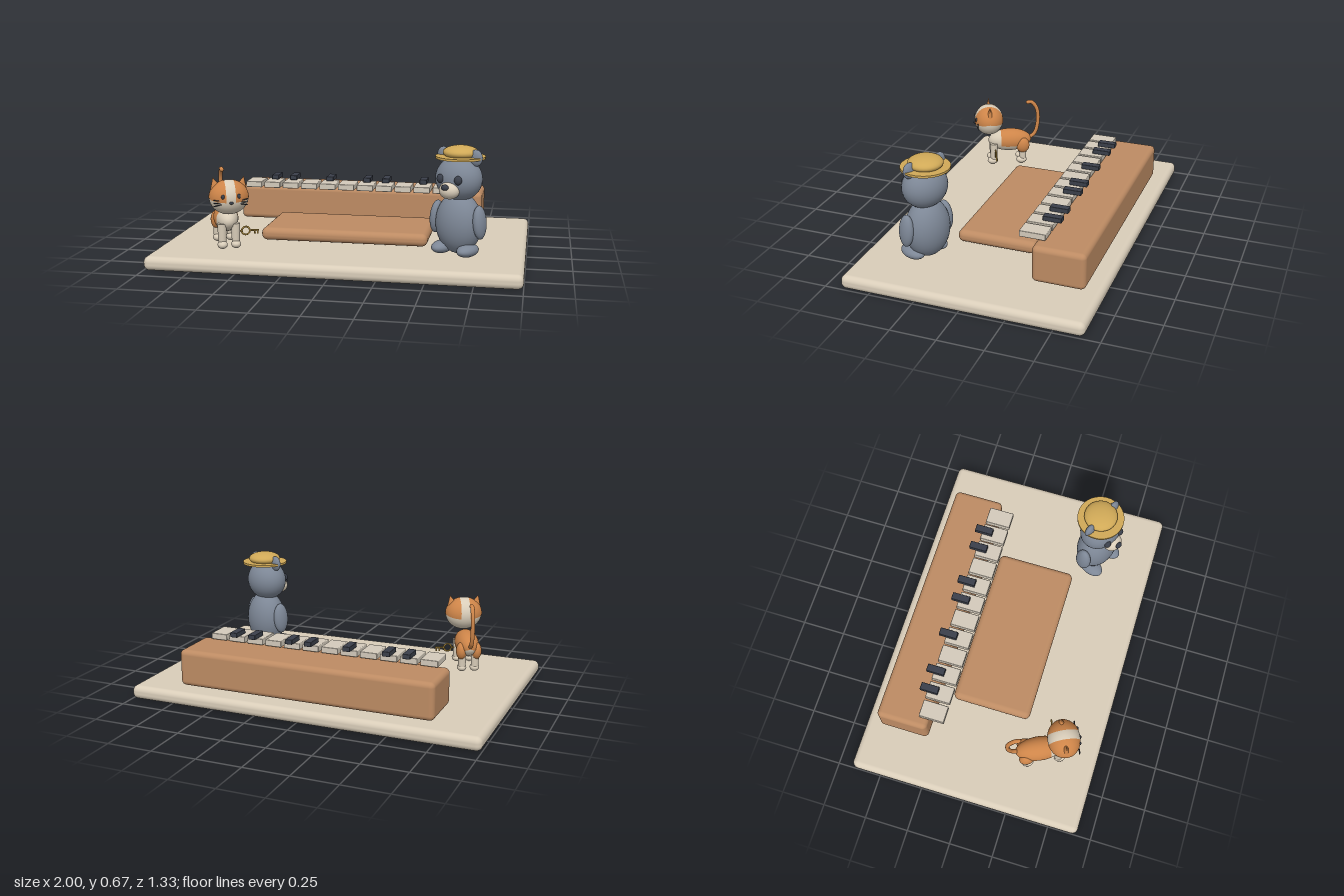
import * as THREE from 'three';
import { RoundedBoxGeometry } from 'three/addons/geometries/RoundedBoxGeometry.js';

const mat = (name, color) => Object.assign(new THREE.MeshStandardMaterial({ color }), { name });

export function createModel() {
  const cream = mat('cream', 0xd9cdb9);
  const wood = mat('wood', 0xbd8b63);
  const ivory = mat('ivory', 0xd3cabb);
  const dark = mat('dark', 0x3a3f4a);
  const grey = mat('grey', 0x7d8796);
  const orange = mat('orange', 0xce8549);
  const straw = mat('straw', 0xd0a957);
  const gold = mat('gold', 0xb08d3e);

  const model = new THREE.Group();
  model.name = 'pianoScene';

  const add = (parent, name, geometry, material, x = 0, y = 0, z = 0) => {
    const mesh = new THREE.Mesh(geometry, material);
    mesh.name = name;
    mesh.position.set(x, y, z);
    parent.add(mesh);
    return mesh;
  };
  const ellipsoid = (parent, name, material, [x, y, z], [rx, ry, rz]) =>
    add(parent, name, new THREE.SphereGeometry(1, 32, 20).scale(rx, ry, rz), material, x, y, z);
  // Upper part of an ellipsoid's skin, measured around its x axis between two angles from +x
  const patch = (parent, name, material, [x, y, z], [rx, ry, rz], wrap, from, to) => {
    const g = new THREE.SphereGeometry(1.012, 32, 16, -wrap, 2 * wrap, from, to - from);
    return add(parent, name, g.rotateZ(-Math.PI / 2).scale(rx, ry, rz), material, x, y, z);
  };
  const block = (name, material, r, x0, x1, y0, y1, z0, z1) =>
    add(model, name, new RoundedBoxGeometry(x1 - x0, y1 - y0, z1 - z0, 5, r), material,
      (x0 + x1) / 2, (y0 + y1) / 2, (z0 + z1) / 2);

  // Ground slab, bench and piano body
  block('slab', cream, 0.032, -1, 1, 0, 0.077, -0.665, 0.665);
  block('bench', wood, 0.032, -0.467, 0.467, 0.085, 0.156, -0.227, 0.227);
  block('pianoBody', wood, 0.028, -0.73, 0.73, 0.09, 0.295, -0.584, -0.294);

  // Keyboard
  const blackSlots = [1, 2, 4, 6, 7, 9, 10];
  for (let i = 0; i < 12; i++) {
    const x = -0.626 + i * 0.1123;
    block('whiteKey', ivory, 0.004, x - 0.048, x + 0.048, 0.3, 0.335, -0.348, -0.204);
    if (blackSlots.includes(i))
      block('blackKey', dark, 0.003, x - 0.021, x + 0.021, 0.337, 0.364, -0.387, -0.284);
  }

  // Bear
  const bear = new THREE.Group();
  bear.name = 'bear';
  bear.position.set(0.645, 0, 0.315);
  bear.rotation.y = -0.46;
  model.add(bear);
  ellipsoid(bear, 'bearBody', grey, [0, 0.255, 0], [0.13, 0.165, 0.106]);
  ellipsoid(bear, 'bearHead', grey, [0, 0.495, 0.008], [0.13, 0.118, 0.108]);
  ellipsoid(bear, 'muzzle', cream, [0, 0.445, 0.102], [0.056, 0.046, 0.05]);
  ellipsoid(bear, 'bearNose', dark, [0, 0.467, 0.147], [0.021, 0.016, 0.014]);
  for (const s of [-1, 1]) {
    ellipsoid(bear, 'bearArm', grey, [s * 0.132, 0.275, 0.01], [0.032, 0.09, 0.048]).rotation.z = s * 0.08;
    ellipsoid(bear, 'bearFoot', grey, [s * 0.078, 0.122, 0.035], [0.05, 0.034, 0.08]);
    ellipsoid(bear, 'bearEar', grey, [s * 0.098, 0.612, 0.004], [0.038, 0.044, 0.021]);
    ellipsoid(bear, 'bearEye', dark, [s * 0.053, 0.503, 0.105], [0.021, 0.024, 0.018]);
  }
  // Straw hat
  add(bear, 'hatBrim', new THREE.CylinderGeometry(0.132, 0.132, 0.012, 40), straw, 0, 0.608, -0.004);
  ellipsoid(bear, 'hatCrown', straw, [0, 0.632, -0.006], [0.094, 0.038, 0.094]);

  // Cat
  const cat = new THREE.Group();
  cat.name = 'cat';
  cat.position.set(-0.627, 0, 0.353);
  cat.rotation.y = 0.45;
  model.add(cat);

  // Cat body with an orange saddle over the rear
  const bodyAt = [0, 0.235, -0.015], bodySize = [0.066, 0.07, 0.135];
  ellipsoid(cat, 'catBody', cream, bodyAt, bodySize);
  const saddle = new THREE.SphereGeometry(1.012, 32, 16, -1.95, 3.9, 0, 2.0);
  saddle.rotateY(Math.PI / 2).rotateX(-Math.PI / 2).scale(...bodySize);
  add(cat, 'catSaddle', saddle, orange, ...bodyAt);

  // Cat head: cream, with an orange patch on each side of a central stripe
  const headAt = [0, 0.377, 0.115], headSize = [0.106, 0.094, 0.09];
  ellipsoid(cat, 'catHead', cream, headAt, headSize);
  patch(cat, 'headPatchLeft', orange, headAt, headSize, 1.75, 0, 1.33);
  patch(cat, 'headPatchRight', orange, headAt, headSize, 1.75, Math.PI - 1.33, Math.PI);
  ellipsoid(cat, 'catNose', dark, [0, 0.36, 0.205], [0.011, 0.008, 0.008]);

  for (const s of [-1, 1]) {
    const ear = add(cat, 'catEar', new THREE.ConeGeometry(0.034, 0.07, 20), orange, s * 0.075, 0.452, 0.112);
    ear.scale.z = 0.6;
    ear.rotation.z = -s * 0.25;
    ellipsoid(cat, 'catEye', dark, [s * 0.042, 0.393, 0.195], [0.01, 0.013, 0.008]);
    for (const k of [-1, 0, 1]) {
      const whisker = add(cat, 'whisker', new THREE.CylinderGeometry(0.0025, 0.0025, 0.05, 6), dark,
        s * 0.067, 0.36 + k * 0.012, 0.188);
      whisker.rotation.z = Math.PI / 2 + s * k * 0.2;
    }
    // Legs and paws
    for (const z of [0.088, -0.095]) {
      add(cat, 'catLeg', new THREE.CylinderGeometry(0.025, 0.021, 0.12, 20), cream, s * 0.037, 0.165, z);
      ellipsoid(cat, 'catPaw', cream, [s * 0.037, 0.11, z + 0.008], [0.027, 0.022, 0.033]);
    }
    ellipsoid(cat, 'catThigh', orange, [s * 0.043, 0.21, -0.095], [0.03, 0.05, 0.042]);
  }

  // Tail
  const tailPath = new THREE.CatmullRomCurve3([
    [0, 0.24, -0.135], [0, 0.275, -0.175], [0, 0.36, -0.195], [0, 0.44, -0.187], [0, 0.483, -0.155], [0, 0.483, -0.132],
  ].map((p) => new THREE.Vector3(...p)));
  add(cat, 'catTail', new THREE.TubeGeometry(tailPath, 40, 0.012, 12), orange);
  ellipsoid(cat, 'tailTip', orange, [0, 0.483, -0.132], [0.012, 0.012, 0.012]);

  // Key at the cat's side
  const key = new THREE.Group();
  key.name = 'key';
  key.position.set(0.094, 0.177, 0.08);
  cat.add(key);
  add(key, 'keyRing', new THREE.TorusGeometry(0.022, 0.005, 10, 28), gold);
  add(key, 'keyMount', new THREE.CylinderGeometry(0.005, 0.005, 0.05, 10), gold, -0.047).rotation.z = Math.PI / 2;
  add(key, 'keyShaft', new THREE.CylinderGeometry(0.005, 0.005, 0.052, 10), gold, 0.047).rotation.z = Math.PI / 2;
  for (const x of [0.05, 0.066]) add(key, 'keyTooth', new THREE.BoxGeometry(0.008, 0.02, 0.007), gold, x, -0.01);

  return model;
}
